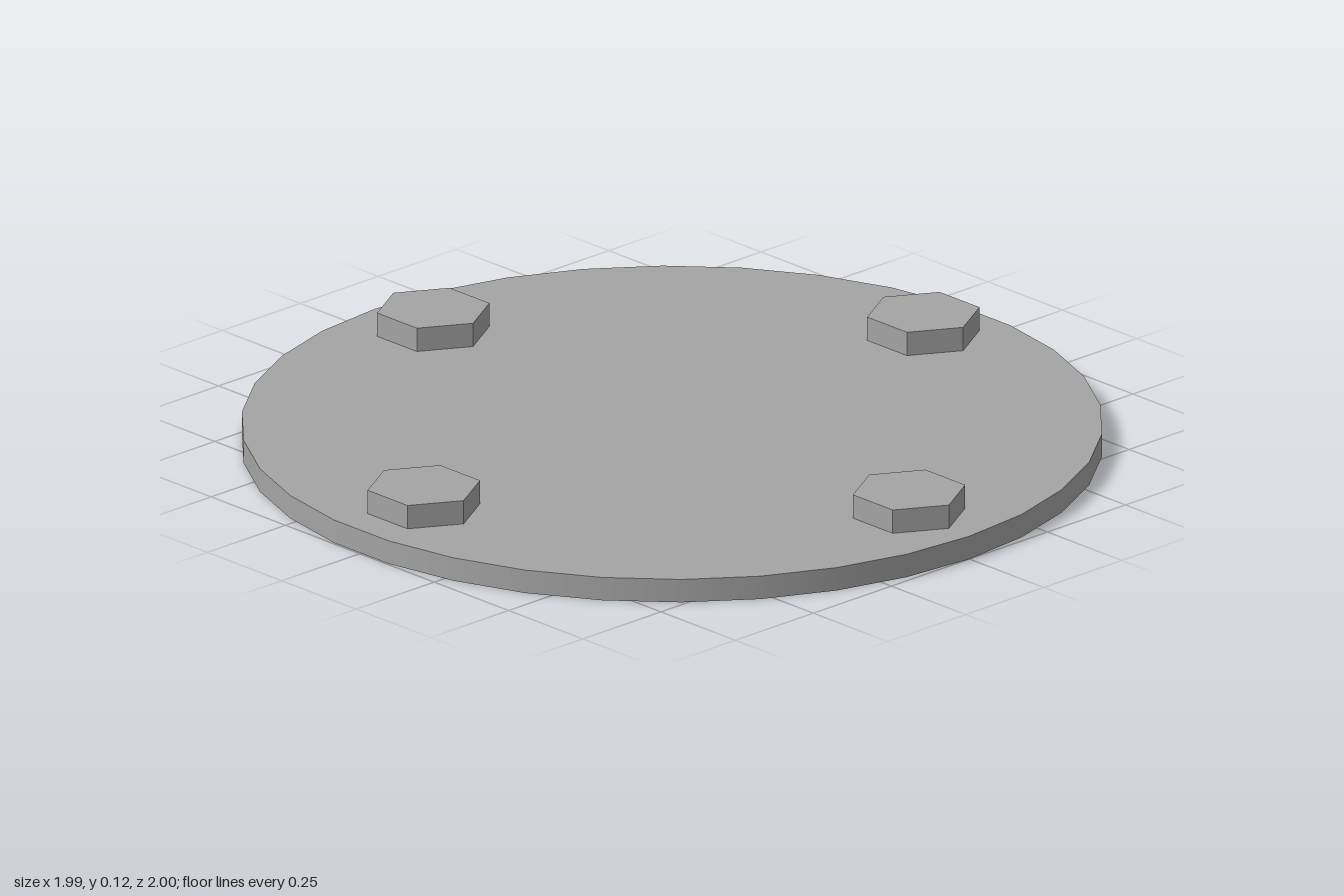
import * as THREE from 'three';

export function createModel() {
  const model = new THREE.Group();
  const grey = new THREE.MeshStandardMaterial({ color: 0xa4a4a4 });
  grey.name = 'grey metal';
  const flatGrey = grey.clone();
  flatGrey.flatShading = true;

  const plateHeight = 0.057;
  const boltHeight = 0.058;

  // Round base plate with a smooth rim
  const plate = new THREE.Mesh(new THREE.CylinderGeometry(1, 1, plateHeight, 34), grey);
  plate.name = 'plate';
  plate.position.y = plateHeight / 2;
  model.add(plate);

  // Four hexagonal bolt heads around the plate
  const boltGeometry = new THREE.CylinderGeometry(0.134, 0.134, boltHeight, 6);
  const bolts = [
    ['boltFront', 0, 0.797],
    ['boltBack', 0, -0.803],
    ['boltLeft', 0.805, 0],
    ['boltRight', -0.795, 0],
  ];
  for (const [name, x, z] of bolts) {
    const bolt = new THREE.Mesh(boltGeometry, flatGrey);
    bolt.name = name;
    bolt.position.set(x, plateHeight + boltHeight / 2, z);
    model.add(bolt);
  }

  return model;
}
